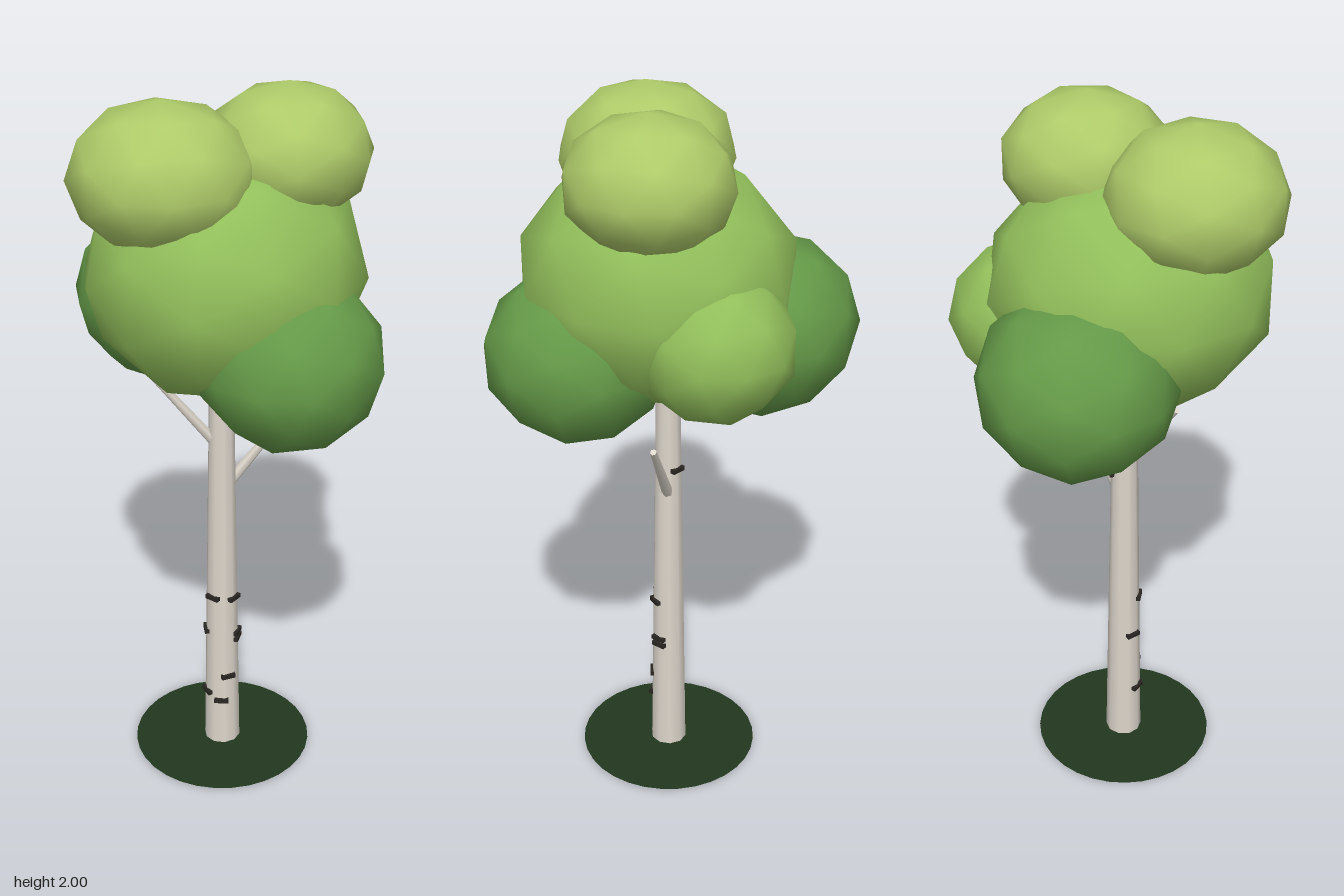
import * as THREE from 'three';

const mat = (color, extra = {}) => new THREE.MeshStandardMaterial({ color, ...extra });

export function createModel() {
  const tree = new THREE.Group();
  tree.name = 'birchTree';
  const bark = mat(0xddd6cb);
  const dark = mat(0x2a2623);
  const trunkZ = 0.03, baseR = 0.053, topR = 0.031, trunkH = 1.4;

  const add = (name, geometry, material, parent = tree) => {
    const mesh = new THREE.Mesh(geometry, material);
    mesh.name = name;
    parent.add(mesh);
    return mesh;
  };

  // Ground patch: a flat disc with a smaller one just above it
  const grass = mat(0x22381f, { side: THREE.DoubleSide });
  [['groundPatch', 0.26, 0.003], ['innerGroundPatch', 0.155, 0.005]].forEach(([name, r, y]) => {
    const disc = add(name, new THREE.CircleGeometry(r, 32), grass);
    disc.rotation.x = -Math.PI / 2;
    disc.position.set(0, y, trunkZ);
  });

  // Tapered trunk
  const trunk = add('trunk', new THREE.CylinderGeometry(topR, baseR, trunkH, 10), bark);
  trunk.position.set(0, trunkH / 2, trunkZ);

  // Bare branches, each a tapered rod between two points
  const addBranch = (name, from, to) => {
    const a = new THREE.Vector3(...from), b = new THREE.Vector3(...to);
    const dir = b.clone().sub(a);
    const rod = add(name, new THREE.CylinderGeometry(0.009, 0.016, dir.length(), 6), bark);
    rod.position.copy(a).add(b).multiplyScalar(0.5);
    rod.quaternion.setFromUnitVectors(new THREE.Vector3(0, 1, 0), dir.normalize());
  };
  addBranch('leftBranch', [0.02, 0.88, 0.01], [0.16, 1.1, -0.1]);
  addBranch('rightBranch', [-0.01, 1.0, 0.04], [-0.155, 1.24, 0.16]);

  // Dark bark marks: height and angle around the trunk (0 = +x, 90 = +z)
  const marks = new THREE.Group();
  marks.name = 'barkMarks';
  tree.add(marks);
  [[0.515, 100], [0.51, 10], [0.39, 145], [0.385, -10], [0.365, -12],
    [0.245, 40], [0.18, 125], [0.16, 65], [0.95, -95]].forEach(([y, deg]) => {
    const a = THREE.MathUtils.degToRad(deg);
    const r = THREE.MathUtils.lerp(baseR, topR, y / trunkH) - 0.001;
    const mark = add('barkMark', new THREE.BoxGeometry(0.042, 0.013, 0.014), dark, marks);
    mark.position.set(r * Math.cos(a), y, trunkZ + r * Math.sin(a));
    mark.rotation.y = Math.PI / 2 - a;
  });

  // Leaf clumps: name, colour, centre, radii, turn
  const deep = mat(0x659a48), mid = mat(0x92bf5b), light = mat(0xaecb69);
  const clumps = [
    ['mainFoliage', mid, [0.02, 1.52, 0.045], [0.37, 0.34, 0.385], 0.3],
    ['rightFoliage', deep, [-0.22, 1.365, -0.095], [0.275, 0.25, 0.265], 0.9],
    ['leftFoliage', deep, [0.245, 1.335, 0.115], [0.245, 0.235, 0.258], 1.7],
    ['frontTopFoliage', light, [-0.073, 1.797, 0.2], [0.243, 0.192, 0.237], 2.2],
    ['backTopFoliage', light, [0.14, 1.82, -0.065], [0.22, 0.18, 0.228], 0.6],
    ['backFoliage', mid, [0.055, 1.42, -0.225], [0.21, 0.2, 0.212], 1.2],
  ];
  clumps.forEach(([name, material, centre, radii, turn]) => {
    const geometry = new THREE.IcosahedronGeometry(1, 1);
    geometry.rotateY(turn);
    geometry.scale(...radii);
    add(name, geometry, material).position.set(...centre);
  });

  return tree;
}
